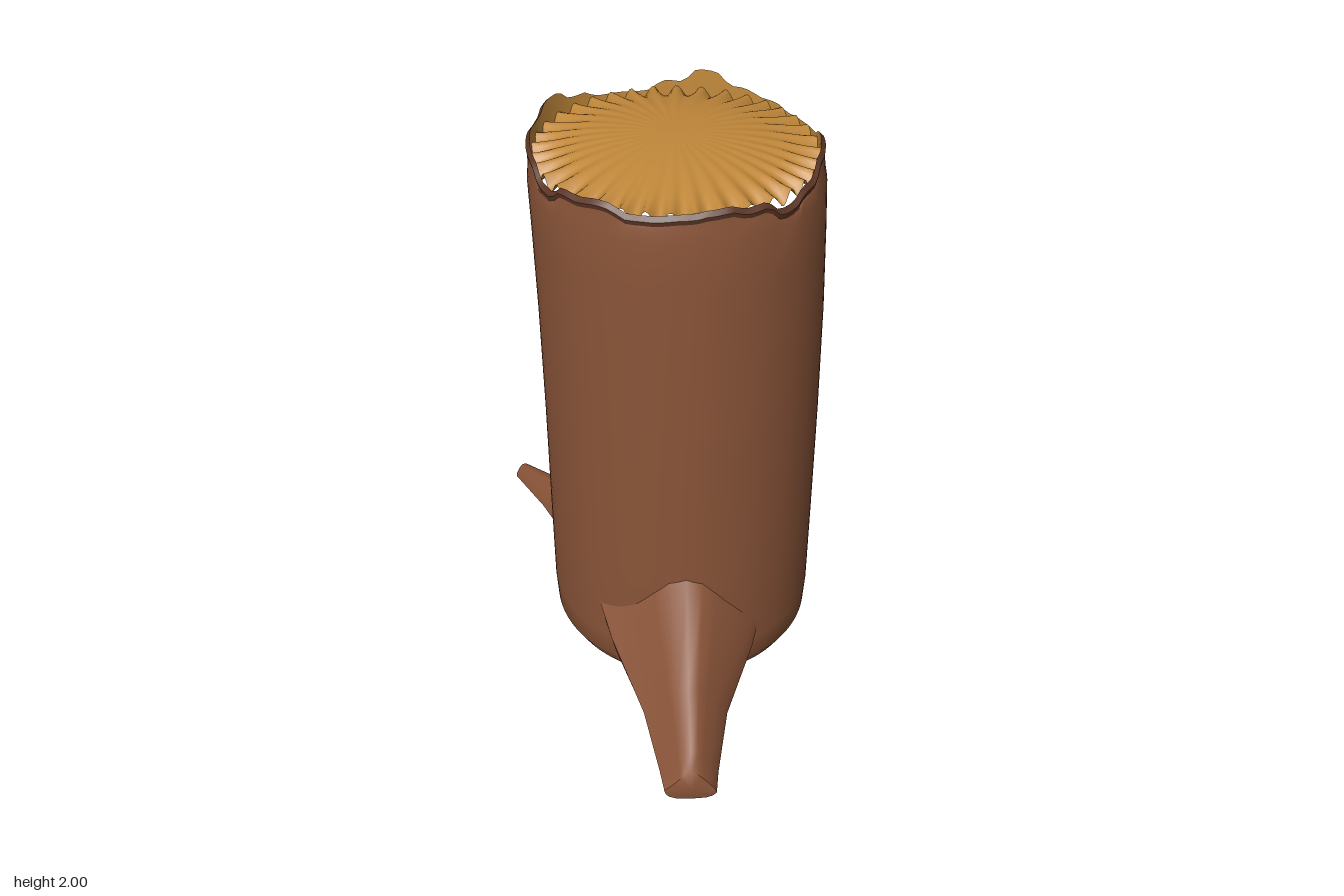
import * as THREE from 'three';
import { toCreasedNormals } from 'three/addons/utils/BufferGeometryUtils.js';

const material = (name, color) => {
  const m = new THREE.MeshStandardMaterial({ color });
  m.name = name;
  return m;
};

// Joins closed rings of points (all the same length) into a surface
function loft(rows, crease = 0.9) {
  const n = rows[0].length, index = [];
  for (let i = 0; i < rows.length - 1; i++)
    for (let j = 0; j < n; j++) {
      const a = i * n + j, b = i * n + (j + 1) % n;
      index.push(a, a + n, b, b, a + n, b + n);
    }
  const g = new THREE.BufferGeometry();
  g.setAttribute('position', new THREE.Float32BufferAttribute(rows.flat(2), 3));
  g.setIndex(index);
  g.computeVertexNormals();
  return crease ? toCreasedNormals(g, crease) : g;
}

// The trunk's axis bends slightly with height
const centreX = y => 0.18 - 0.026 * Math.max(0, y - 1) ** 2;
const centreZ = y => 0.028 + 0.026 * (y - 0.5);

// A ring around the trunk; radius and height may depend on the angle
function ring(radius, height, n = 108) {
  return Array.from({ length: n }, (_, j) => {
    const a = j / n * Math.PI * 2;
    const y = height(a), r = radius(a);
    return [centreX(y) + Math.cos(a) * r, y, centreZ(y) + Math.sin(a) * r];
  });
}

// Height of the broken bark edge every 15 degrees, from +x towards +z
const edge = [1.925, 1.90, 1.935, 1.95, 1.935, 1.93, 1.95, 1.945, 1.91, 1.965, 1.97, 1.97,
  2.0, 1.965, 1.935, 1.93, 1.955, 2.0, 1.955, 1.945, 1.93, 1.94, 1.97, 1.97];
function rim(a) {
  const s = a / (Math.PI * 2) * edge.length, i = Math.floor(s), f = s - i;
  const k = THREE.MathUtils.smoothstep(f, 0.25, 0.75);
  const chip = 0.004 * Math.sin(a * 17) * Math.sin(a * 5);
  return Math.min(2, THREE.MathUtils.lerp(edge[i % 24], edge[(i + 1) % 24], k) + chip);
}

// Root: stations of [distance, top, bottom, half width], lofted outwards
function root(angle, stations) {
  const c = Math.cos(angle), s = Math.sin(angle), n = 16;
  const section = ([d, top, bottom, half, lean = 0]) => Array.from({ length: n }, (_, j) => {
    const t = j / n * Math.PI * 2, v = Math.sin(t), u = Math.cos(t);
    const k = 0.36 + 0.64 * Math.min(1, (1 - v) / 1.2);
    const w = half * Math.sign(u) * Math.abs(u) ** 0.6 * (v > 0 ? k : 1);
    const y = v > 0 ? THREE.MathUtils.lerp(bottom + (top - bottom) * 0.35, top, v)
      : THREE.MathUtils.lerp(bottom + (top - bottom) * 0.35, bottom, -v);
    const r = d + lean * v;
    return [0.17 + c * r - s * w, y, 0.035 + s * r + c * w];
  });
  const rows = stations.map(section);
  const [d, top, bottom] = stations.at(-1);
  const mid = (top + bottom) / 2;
  rows.push(Array.from({ length: n }, () => [0.17 + c * (d + 0.012), mid, 0.035 + s * (d + 0.012)]));
  return loft(rows, 0.8);
}

export function createModel() {
  const group = new THREE.Group();
  const bark = material('bark brown', 0x8b5539);
  const darkBark = material('dark bark edge', 0x5c3625);
  const wood = material('amber wood', 0xc0873a);
  wood.side = THREE.DoubleSide;
  const add = (name, geometry, mat) => {
    const mesh = new THREE.Mesh(geometry, mat);
    mesh.name = name;
    group.add(mesh);
  };
  const flat = v => () => v;

  // Trunk with a shallow rounded underside
  const profile = [[0.001, 0.05], [0.2, 0.062], [0.37, 0.08], [0.425, 0.105], [0.45, 0.15], [0.456, 0.25],
    [0.457, 0.6], [0.457, 1.0], [0.457, 1.4], [0.456, 1.7], [0.455, 1.85]];
  const rows = profile.map(([r, y]) => ring(flat(r), flat(y)));
  const lip = a => rim(a) - 0.028;
  rows.push(ring(flat(0.449), a => Math.min(1.89, lip(a))), ring(flat(0.446), lip));
  add('trunk', loft(rows, 1.1), bark);

  // Bevelled, chipped edge of the bark
  add('barkEdge', loft([
    ring(flat(0.446), lip),
    ring(flat(0.449), a => rim(a) - 0.014),
    ring(flat(0.436), rim),
  ]), darkBark);

  // Inside of the bark
  add('innerBark', loft([ring(flat(0.436), rim), ring(flat(0.428), flat(1.87))]), wood);

  // Domed cut face with radial pleats deepening at the border
  const pleat = a => Math.sin(a * 36 + 0.6 * Math.sin(a * 5));
  const dome = [1, 0.95, 0.9, 0.84, 0.76, 0.64, 0.48, 0.28, 0.002].map(t => ring(flat(0.434 * t),
    a => 1.982 - 0.062 * t ** 2.6 + pleat(a) * (0.018 * t ** 8 + 0.003 * t * t), 288));
  add('cutFace', loft(dome, 0), wood);

  // Three spreading roots
  add('frontRoot', root(1.012, [
    [0.30, 0.78, 0.24, 0.30], [0.44, 0.58, 0.16, 0.245, 0.02],
    [0.62, 0.29, 0.06, 0.145, 0.04], [0.80, 0.165, 0.0, 0.1, 0.02], [0.87, 0.12, 0.0, 0.088],
  ]), bark);
  add('backRoot', root(-Math.PI / 2, [
    [0.30, 0.66, 0.17, 0.25], [0.455, 0.48, 0.12, 0.17],
    [0.62, 0.285, 0.095, 0.095], [0.84, 0.185, 0.097, 0.052], [0.855, 0.17, 0.1, 0.045],
  ]), bark);
  add('sideRoot', root(Math.PI + 0.325, [
    [0.30, 0.51, 0.15, 0.24], [0.45, 0.40, 0.125, 0.17],
    [0.69, 0.225, 0.11, 0.08], [0.91, 0.178, 0.122, 0.041], [0.92, 0.17, 0.127, 0.035],
  ]), bark);

  return group;
}
